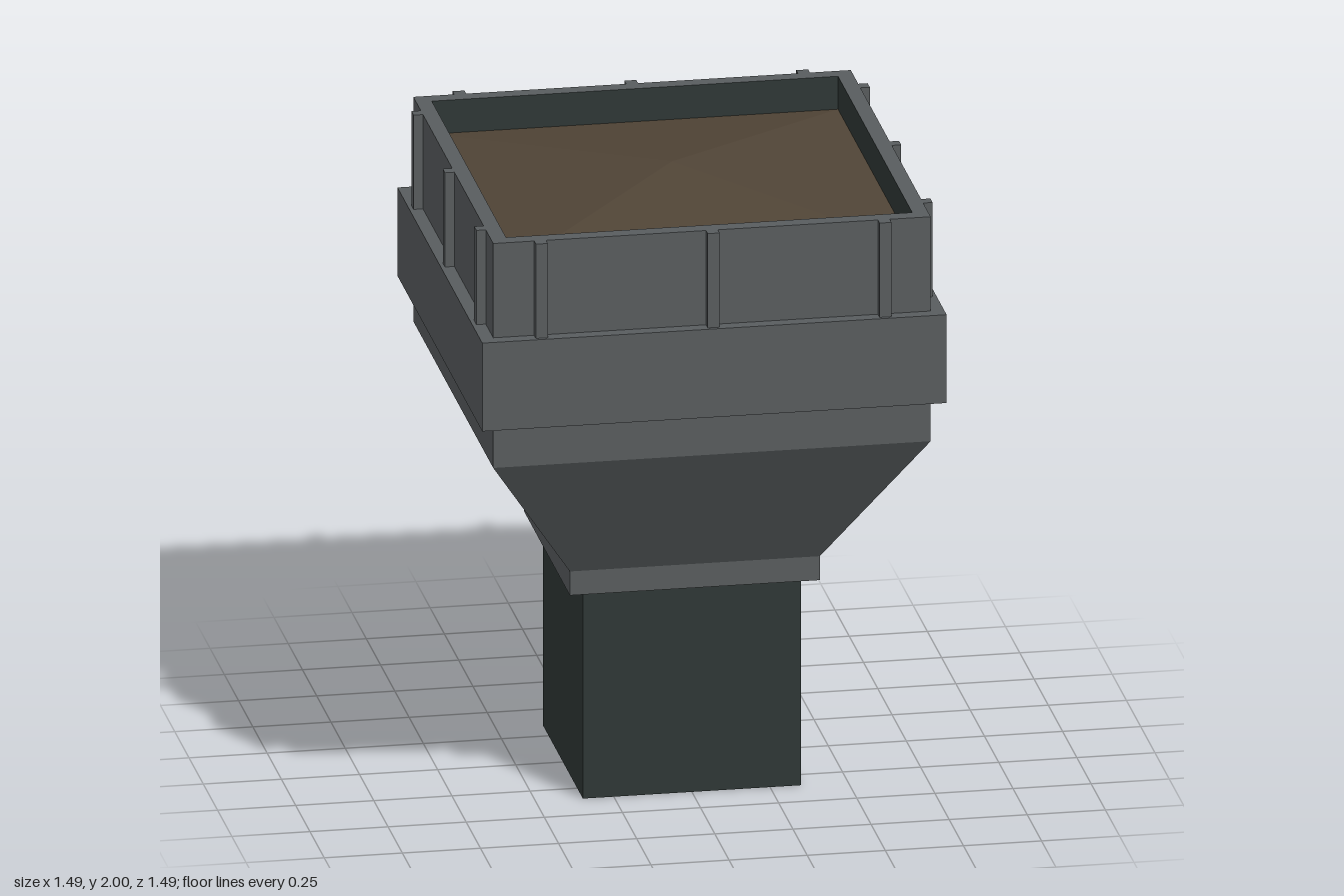
import * as THREE from 'three';

// Square shell: lofts [halfWidth, y] points around four flat sides.
// Going up the list, faces point outward.
function squareShell(profile) {
  const pos = [];
  const corner = (k, [h, y]) => {
    const a = Math.PI / 4 + (k * Math.PI) / 2;
    return [Math.cos(a) * h * Math.SQRT2, y, Math.sin(a) * h * Math.SQRT2];
  };
  for (let i = 0; i < profile.length - 1; i++) {
    const lo = profile[i], hi = profile[i + 1];
    for (let k = 0; k < 4; k++) {
      const a = corner(k + 1, lo), b = corner(k, lo), c = corner(k, hi), d = corner(k + 1, hi);
      if (lo[0] > 0) pos.push(...a, ...b, ...c);
      if (hi[0] > 0) pos.push(...a, ...c, ...d);
    }
  }
  const g = new THREE.BufferGeometry();
  g.setAttribute('position', new THREE.Float32BufferAttribute(pos, 3));
  g.computeVertexNormals();
  return g;
}

export function createModel() {
  const group = new THREE.Group();
  const material = (name, color, side = THREE.FrontSide) => {
    const m = new THREE.MeshStandardMaterial({ color, side });
    m.name = name;
    return m;
  };
  const grey = material('grey metal', 0x585c5e);
  const dark = material('dark green metal', 0x2e3735, THREE.DoubleSide);
  const brown = material('brown fill', 0x504436);

  const add = (name, geometry, mat, parent = group) => {
    const mesh = new THREE.Mesh(geometry, mat);
    mesh.name = name;
    parent.add(mesh);
    return mesh;
  };

  // Open-bottomed base with a panel on its back
  add('base', squareShell([[0.349, 0], [0.349, 0.7]]), dark);
  add('backPanel', new THREE.BoxGeometry(0.4, 0.56, 0.009), grey).position.set(0, 0.33, -0.3535);

  // Collar and flared hopper
  add('collarUnderside', squareShell([[0, 0.7], [0.4, 0.7]]), dark);
  add('collar', squareShell([[0.4, 0.7], [0.4, 0.78]]), grey);
  add('hopper', squareShell([[0.4, 0.78], [0.7, 1.25], [0.7, 1.39]]), grey);

  // Wide band around the hopper
  add('bandUnderside', squareShell([[0.7, 1.39], [0.743, 1.39]]), dark);
  add('band', squareShell([[0.743, 1.39], [0.743, 1.685], [0.7, 1.685]]), grey);

  // Upper walls with a flat rim and dark lining
  add('upperWalls', squareShell([[0.7, 1.685], [0.7, 2], [0.65, 2]]), grey);
  add('innerLining', squareShell([[0.65, 2], [0.65, 1.89]]), dark);

  // Shallow mound of contents
  add('fill', squareShell([[0.65, 1.89], [0, 1.985]]), brown);

  // Three vertical ribs on each side
  const ribGeometry = new THREE.BoxGeometry(0.038, 0.315, 0.03);
  for (let s = 0; s < 4; s++) {
    const side = new THREE.Group();
    side.name = 'ribs';
    side.rotation.y = (s * Math.PI) / 2;
    for (const x of [-0.55, 0, 0.55]) {
      add('rib', ribGeometry, grey, side).position.set(x, 1.8425, 0.715);
    }
    group.add(side);
  }

  return group;
}
